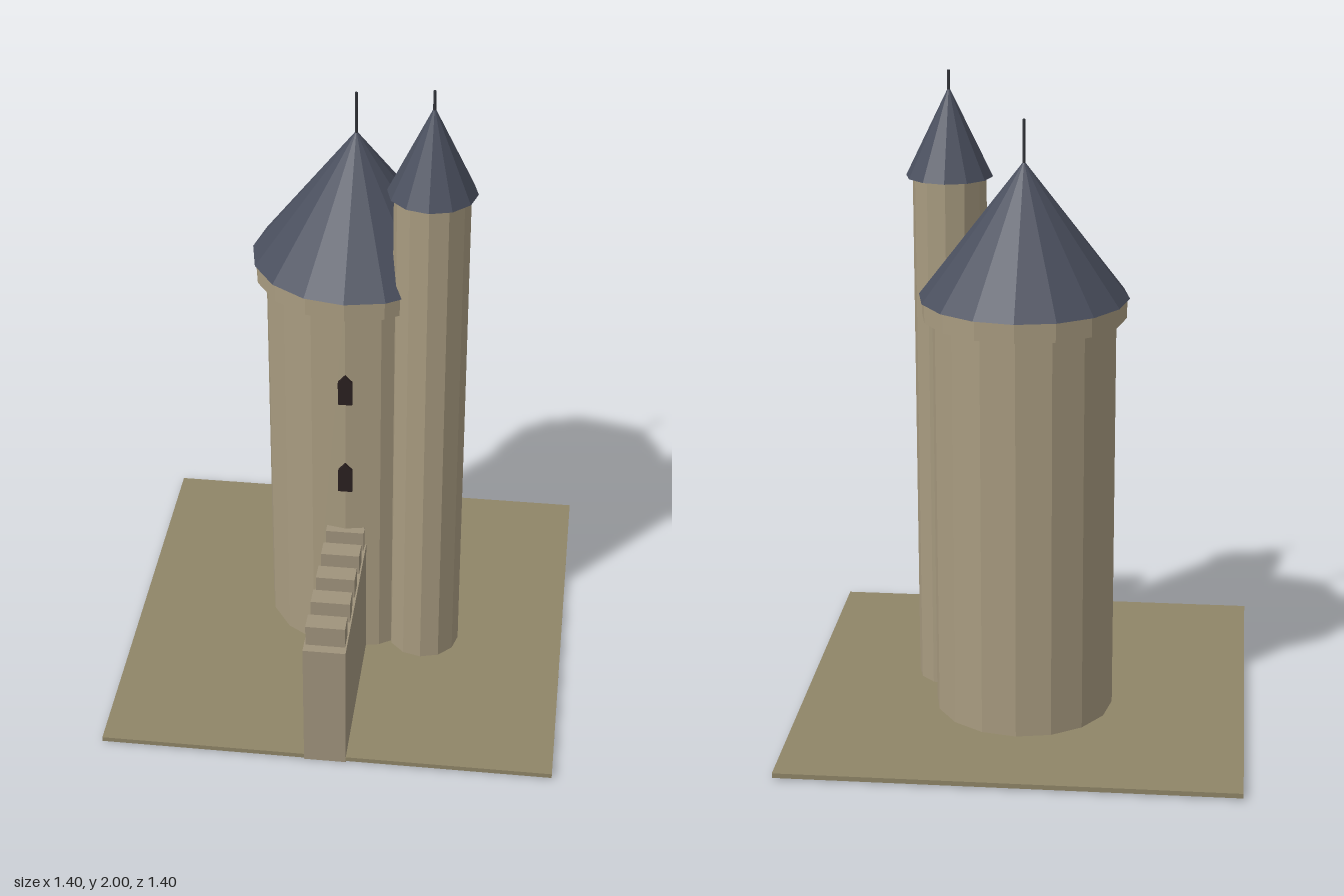
import * as THREE from 'three';

const mat = (color) => new THREE.MeshStandardMaterial({ color, flatShading: true });
const stone = mat(0xa89b80), wallStone = mat(0x9f937c), slate = mat(0x4a4f5e);
const earth = mat(0x8f8567), dark = mat(0x2a2020), iron = mat(0x33353b);

function add(parent, name, geometry, material, x, y, z) {
  const mesh = new THREE.Mesh(geometry, material);
  mesh.name = name;
  mesh.position.set(x, y, z);
  parent.add(mesh);
  return mesh;
}

// Upright prism between two heights
function drum(parent, name, rTop, rBottom, y0, y1, sides, material) {
  const g = new THREE.CylinderGeometry(rTop, rBottom, y1 - y0, sides);
  return add(parent, name, g, material, 0, (y0 + y1) / 2, 0);
}

function box(parent, name, w, h, d, x, y0, z, material) {
  return add(parent, name, new THREE.BoxGeometry(w, h, d), material, x, y0 + h / 2, z);
}

// Round tower with pointed roof and finial
function tower(name, x, z, r, sides, wallTop, roofR, roofTop, tip) {
  const g = new THREE.Group();
  g.name = name;
  g.position.set(x, 0, z);
  drum(g, 'towerWall', r, r, 0, wallTop, sides, stone);
  add(g, 'roof', new THREE.ConeGeometry(roofR, roofTop - wallTop, sides), slate, 0, (wallTop + roofTop) / 2, 0);
  drum(g, 'finial', 0.005, 0.005, roofTop - 0.02, tip, 6, iron);
  return g;
}

export function createModel() {
  const model = new THREE.Group();
  model.name = 'castleTower';

  box(model, 'ground', 1.4, 0.015, 1.4, 0, 0.005, 0, earth);

  // Main tower with its collar under the eaves
  const keep = tower('mainTower', 0, -0.11, 0.28, 16, 1.35, 0.32, 1.765, 1.89);
  drum(keep, 'collar', 0.312, 0.312, 1.29, 1.35, 16, stone);
  model.add(keep);

  // Tall stair turret
  model.add(tower('stairTurret', 0.247, 0.08, 0.114, 12, 1.675, 0.134, 1.95, 2));

  // Pointed slit windows
  const slit = new THREE.Shape([[-0.022, 0], [0.022, 0], [0.022, 0.078], [0, 0.105], [-0.022, 0.078]]
    .map(([x, y]) => new THREE.Vector2(x, y)));
  const slitGeo = new THREE.ExtrudeGeometry(slit, { depth: 0.035, bevelEnabled: false });
  for (const y of [0.65, 0.975]) add(model, 'window', slitGeo, dark, 0, y, 0.143);

  // Curtain wall with merlons
  box(model, 'curtainWall', 0.13, 0.432, 0.56, 0, 0, 0.42, wallStone);
  for (let i = 0; i < 5; i++) box(model, 'merlon', 0.12, 0.07, 0.06, 0, 0.43, 0.16 + i * 0.12, wallStone);

  return model;
}
